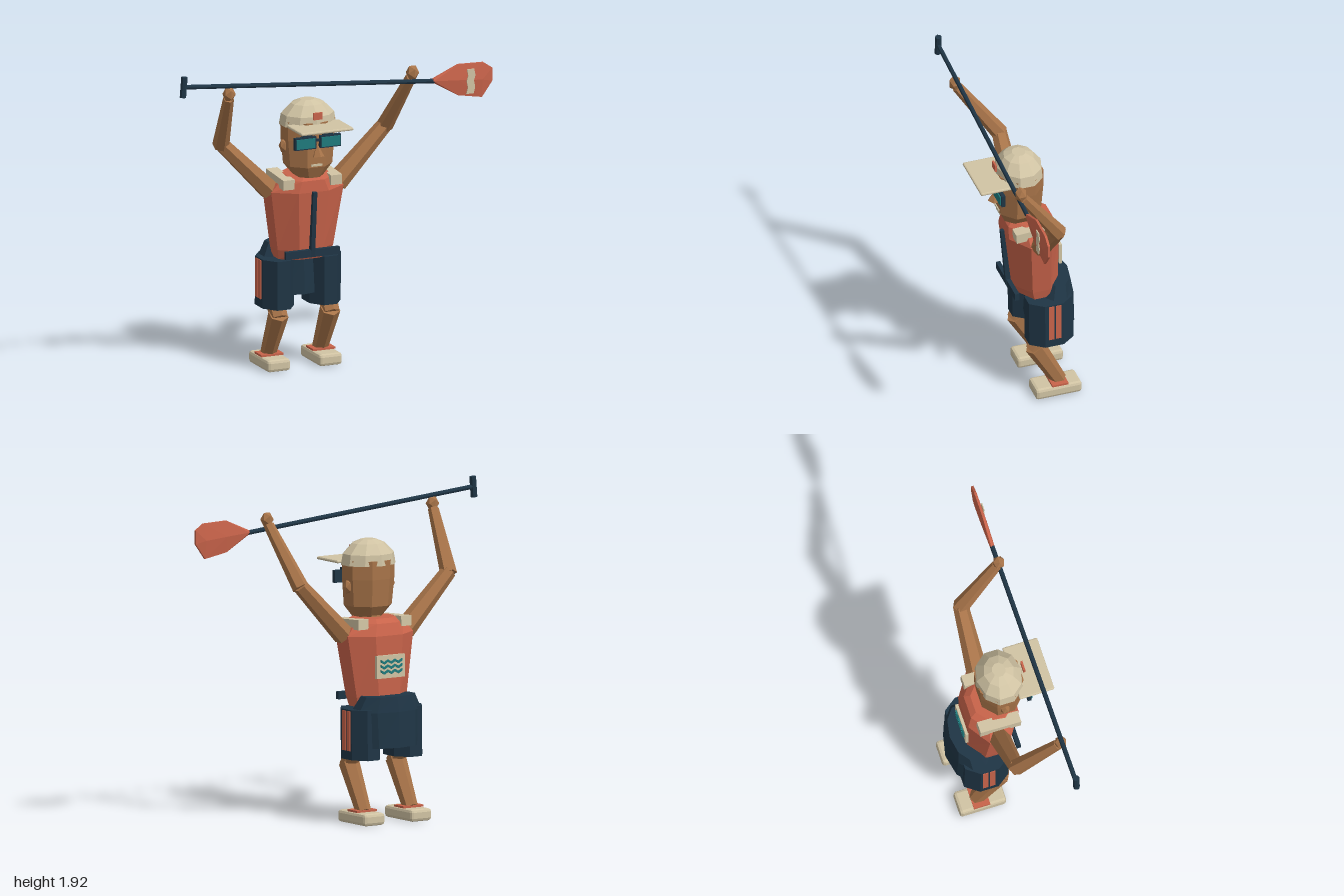
import * as THREE from 'three';
import { RoundedBoxGeometry } from 'three/addons/geometries/RoundedBoxGeometry.js';
import { ConvexGeometry } from 'three/addons/geometries/ConvexGeometry.js';

const V = (x, y, z) => new THREE.Vector3(x, y, z);

function material(name, color) {
  const m = new THREE.MeshStandardMaterial({ color, flatShading: true });
  m.name = name;
  return m;
}

// Faceted solid through elliptical sections [y, rx, rz, cz], listed bottom to top.
function loft(sections, sides, flatFront = true) {
  const m = sections.length - 1;
  const r = flatFront ? 1 / Math.cos(Math.PI / sides) : 1;
  const g = new THREE.CylinderGeometry(r, r, 1, sides, m);
  if (flatFront) g.rotateY(Math.PI / sides);
  const p = g.attributes.position;
  for (let i = 0; i < p.count; i++) {
    const [y, rx, rz, cz] = sections[Math.round((p.getY(i) + 0.5) * m)];
    p.setXYZ(i, p.getX(i) * rx, y, p.getZ(i) * rz + cz);
  }
  g.computeVertexNormals();
  return g;
}

// Tapered prism from point a to point b.
function limb(a, b, ra, rb, sides = 6) {
  const d = b.clone().sub(a);
  const g = new THREE.CylinderGeometry(rb, ra, d.length(), sides);
  g.applyQuaternion(new THREE.Quaternion().setFromUnitVectors(V(0, 1, 0), d.normalize()));
  const c = a.clone().add(b).multiplyScalar(0.5);
  return g.translate(c.x, c.y, c.z);
}

const box = (w, h, d, x, y, z) => new THREE.BoxGeometry(w, h, d).translate(x, y, z);
const slab = (w, h, d, x, y, z, r) => new RoundedBoxGeometry(w, h, d, 1, r).translate(x, y, z);

export function createModel() {
  const skin = material('skin', 0xa87449);
  const red = material('coral red', 0xc8634a);
  const navy = material('navy', 0x1f3545);
  const cream = material('cream', 0xd0c3a3);
  const teal = material('teal', 0x1f7a7c);

  const model = new THREE.Group();
  model.name = 'paddler';
  const body = new THREE.Group();
  body.name = 'body';
  body.position.x = -0.098;
  model.add(body);
  const add = (name, geometry, mat, parent = body) => {
    const mesh = new THREE.Mesh(geometry, mat);
    mesh.name = name;
    parent.add(mesh);
    return mesh;
  };

  // Torso and vest
  add('vest', loft([
    [0.68, 0.165, 0.11, -0.07], [0.74, 0.178, 0.135, -0.065],
    [1.1, 0.232, 0.155, -0.045], [1.17, 0.17, 0.14, -0.035], [1.195, 0.13, 0.11, -0.03],
  ], 8), red);
  add('neck', loft([[1.15, 0.07, 0.07, 0], [1.24, 0.07, 0.07, 0.01]], 8), skin);
  const zip = add('zip', box(0.026, 0.4, 0.03, 0, 0, 0), navy);
  zip.position.set(0, 0.905, 0.1);
  zip.rotation.x = 0.085;
  add('belt', box(0.345, 0.045, 0.026, 0, 0.727, 0.085), navy);

  // Back patch with wavy stripes
  const patch = new THREE.Group();
  patch.name = 'backPatch';
  patch.position.set(0, 0.92, -0.208);
  body.add(patch);
  add('patchPanel', box(0.2, 0.135, 0.018, 0, 0, 0), cream, patch);
  for (const y of [-0.03, 0, 0.03]) {
    const wave = new THREE.Shape();
    const xs = [-3, -2, -1, 0, 1, 2, 3];
    const mid = (i) => y + (i % 2 ? 0.007 : -0.007);
    xs.forEach((i) => wave[i === -3 ? 'moveTo' : 'lineTo'](i * 0.025, mid(i) - 0.007));
    xs.reverse().forEach((i) => wave.lineTo(i * 0.025, mid(i) + 0.007));
    const g = new THREE.ExtrudeGeometry(wave, { depth: 0.008, bevelEnabled: false });
    add('patchWave', g.translate(0, 0, -0.017), teal, patch);
  }

  // Head and face
  add('head', loft([
    [1.19, 0.08, 0.085, 0.03], [1.26, 0.135, 0.125, 0.022],
    [1.42, 0.148, 0.133, 0.018], [1.53, 0.15, 0.133, 0.018],
  ], 8), skin);
  add('nose', new THREE.ConeGeometry(0.036, 0.08, 5).rotateX(-0.2).translate(0, 1.37, 0.165), skin);
  add('mouth', box(0.068, 0.013, 0.01, 0, 1.275, 0.149), cream);

  // Cap
  add('capCrown', loft([
    [1.5, 0.172, 0.142, 0.018], [1.565, 0.16, 0.136, 0.018],
    [1.625, 0.1, 0.09, 0.018], [1.647, 0.045, 0.04, 0.018],
  ], 10, false), cream);
  add('capVisor', slab(0.336, 0.018, 0.215, 0, 1.513, 0.2, 0.008), cream);
  add('capBadge', box(0.058, 0.042, 0.012, 0, 1.575, 0.166), red);

  // Shorts seat
  add('shortsSeat', loft([
    [0.45, 0.22, 0.145, -0.165], [0.66, 0.23, 0.135, -0.165], [0.75, 0.18, 0.1, -0.183],
  ], 10, false), navy);

  // Glasses bridge
  add('glassesBridge', box(0.05, 0.014, 0.014, 0, 1.43, 0.162), navy);

  // Paired parts
  for (const [side, s] of [['left', 1], ['right', -1]]) {
    add(side + 'Lens', box(0.118, 0.058, 0.016, s * 0.08, 1.418, 0.173), teal);
    add(side + 'LensFrame', box(0.134, 0.074, 0.024, s * 0.08, 1.418, 0.161), navy);
    add(side + 'Brow', box(0.062, 0.014, 0.02, s * 0.065, 1.462, 0.158), navy);
    add(side + 'Ear', new THREE.IcosahedronGeometry(0.034, 0).scale(0.8, 1.3, 0.9)
      .translate(s * 0.15, 1.375, 0.01), skin);

    const strap = add(side + 'ShoulderPad', box(0.072, 0.06, 0.25, 0, 0, 0), cream);
    strap.position.set(s * 0.152, 1.163, -0.03);
    strap.rotation.x = 0.06;

    // Raised arm
    const elbow = V(s * 0.53, 1.42, -0.045), wrist = V(s * 0.585, 1.755, 0.195);
    add(side + 'UpperArm', limb(V(s * 0.215, 1.1, -0.045), elbow, 0.064, 0.046), skin);
    add(side + 'Forearm', limb(V(s * 0.525, 1.405, -0.05), wrist, 0.05, 0.032), skin);
    add(side + 'Hand', new THREE.IcosahedronGeometry(0.044, 0).scale(0.9, 1.1, 0.9)
      .translate(s * 0.588, 1.785, 0.208), skin);

    // Shorts leg with two outer stripes
    const leg = add(side + 'ShortsLeg', loft([
      [0.38, 0.1, 0.137, -0.12], [0.675, 0.1, 0.135, -0.115],
    ], 8), navy);
    leg.position.x = s * 0.15;
    for (const z of [-0.1, -0.143]) {
      add(side + 'ShortsStripe', box(0.009, 0.235, 0.034, s * 0.25, 0.55, z), red);
    }

    // Bent leg
    const x = s * 0.166;
    add(side + 'Thigh', limb(V(x, 0.5, -0.13), V(x, 0.325, -0.015), 0.06, 0.052), skin);
    add(side + 'Shin', limb(V(x, 0.345, -0.025), V(x, 0.07, -0.175), 0.061, 0.046), skin);

    // Shoe
    add(side + 'Shoe', slab(0.147, 0.072, 0.285, x, 0.036, -0.152, 0.018), cream);
    add(side + 'ShoeStrap', box(0.142, 0.012, 0.1, x, 0.078, -0.16), red);
  }

  // Paddle
  const paddle = new THREE.Group();
  paddle.name = 'paddle';
  paddle.position.z = 0.21;
  model.add(paddle);
  add('paddleShaft', limb(V(-0.98, 1.86, 0), V(0.64, 1.717, 0), 0.014, 0.014, 8), navy, paddle);
  add('paddleGrip', limb(V(-0.983, 1.798, 0), V(-0.973, 1.92, 0), 0.02, 0.02, 8), navy, paddle);

  const outline = [[0.596, 1.723], [0.78, 1.803], [0.943, 1.798], [0.998, 1.76],
    [0.998, 1.68], [0.932, 1.589], [0.78, 1.616]];
  const points = [];
  for (const k of [-1, 1]) {
    outline.forEach(([x, y]) => points.push(V(x, y, k * 0.007)));
    points.push(V(0.62, 1.72, k * 0.014), V(0.78, 1.71, k * 0.019), V(0.93, 1.697, k * 0.018));
  }
  add('paddleBlade', new ConvexGeometry(points), red, paddle);

  const band = new THREE.Shape();
  const edge = [[0.83, 1.77], [0.838, 1.73], [0.828, 1.7], [0.836, 1.66], [0.826, 1.622]];
  edge.forEach(([x, y], i) => (i ? band.lineTo(x, y) : band.moveTo(x, y)));
  edge.slice().reverse().forEach(([x, y]) => band.lineTo(x + 0.046, y));
  add('bladeBand', new THREE.ExtrudeGeometry(band, { depth: 0.006, bevelEnabled: false })
    .translate(0, 0, 0.016), cream, paddle);

  return model;
}
